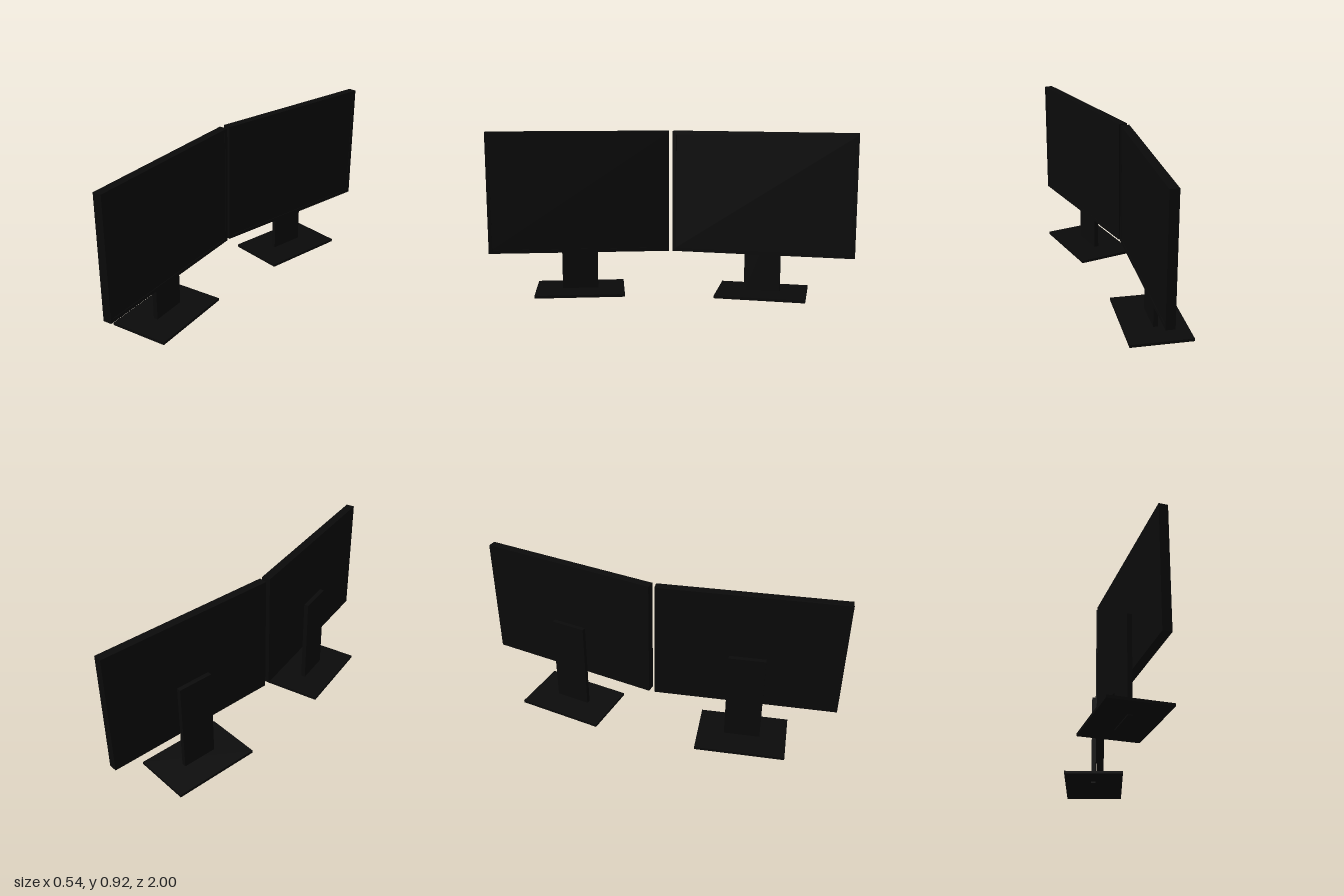
import * as THREE from 'three';

const WIDTH = 1.005, DEPTH = 0.047, BOTTOM = 0.24, TOP = 0.915;
const BEZEL = 0.02, RECESS = 0.003;

function rectangle(Target, w, h) {
  const r = new Target();
  r.moveTo(-w / 2, -h / 2);
  r.lineTo(w / 2, -h / 2);
  r.lineTo(w / 2, h / 2);
  r.lineTo(-w / 2, h / 2);
  r.closePath();
  return r;
}

// One display facing +x, with its panel centred on the local origin in x and z
function createMonitor(name, material) {
  const monitor = new THREE.Group();
  monitor.name = name;
  const height = TOP - BOTTOM, middle = (TOP + BOTTOM) / 2;

  const addBox = (part, w, h, d, x, y, z = 0) => {
    const mesh = new THREE.Mesh(new THREE.BoxGeometry(w, h, d), material);
    mesh.name = part;
    mesh.position.set(x, y, z);
    monitor.add(mesh);
  };

  // Frame around the slightly recessed screen
  const outline = rectangle(THREE.Shape, WIDTH, height);
  outline.holes.push(rectangle(THREE.Path, WIDTH - 2 * BEZEL, height - 2 * BEZEL));
  const frameGeometry = new THREE.ExtrudeGeometry(outline, { depth: DEPTH, bevelEnabled: false });
  frameGeometry.translate(0, 0, -DEPTH / 2).rotateY(Math.PI / 2);
  const frame = new THREE.Mesh(frameGeometry, material);
  frame.name = 'bezel';
  frame.position.y = middle;
  monitor.add(frame);
  addBox('screen', DEPTH - RECESS, height - 2 * BEZEL, WIDTH - 2 * BEZEL, -RECESS / 2, middle);

  // Flat upright behind the panel, passing through the foot plate
  addBox('stand', 0.025, 0.54, 0.2, -DEPTH / 2 - 0.0125, 0.27);
  addBox('base', 0.33, 0.015, 0.497, -0.034, 0.0155);
  return monitor;
}

export function createModel() {
  const model = new THREE.Group();
  model.name = 'dualMonitors';
  const black = new THREE.MeshStandardMaterial({ color: 0x0a0a0a });

  const straight = createMonitor('straightMonitor', black);
  straight.position.set(-0.073, 0, 0.4975);

  const angled = createMonitor('angledMonitor', black);
  angled.position.set(0.073, 0, -0.5125);
  angled.rotation.y = -0.29;

  model.add(straight, angled);
  return model;
}
